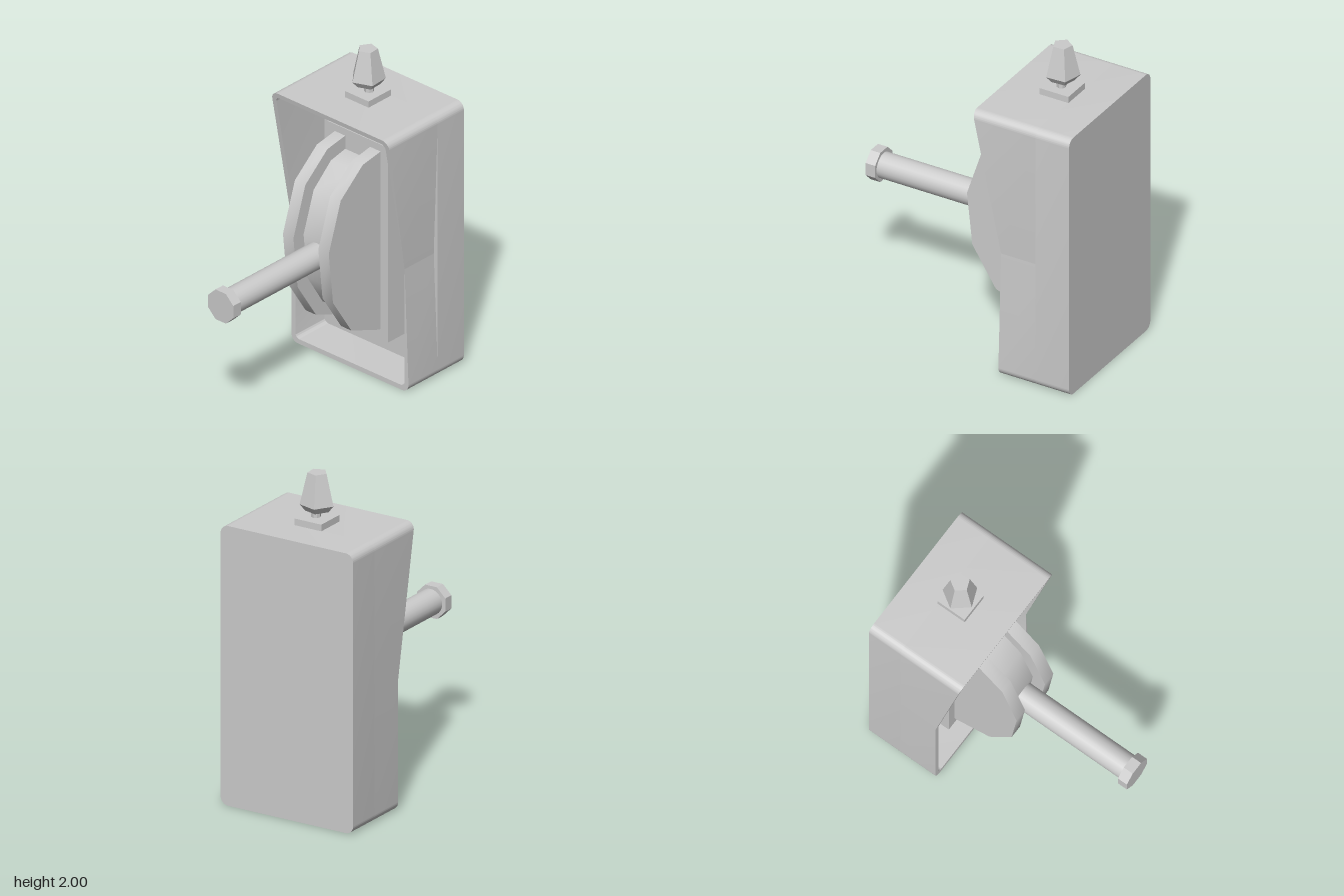
import * as THREE from 'three';
import { toCreasedNormals } from 'three/addons/utils/BufferGeometryUtils.js';

const HALF_W = 0.447, HEIGHT = 1.69, BEND_Y = 0.79;
const BACK_Z = -0.775, FLOOR_Z = -0.555, FRONT_Z = -0.31, LEAN = 0.17;
const WALL = 0.03, ROUND = 0.05;

export function createModel() {
  const model = new THREE.Group();
  const smooth = new THREE.MeshStandardMaterial({ color: 0xcccccc });
  const faceted = new THREE.MeshStandardMaterial({ color: 0xcccccc, flatShading: true });

  const add = (name, geometry, material, x = 0, y = 0, z = 0) => {
    const mesh = new THREE.Mesh(geometry, material);
    mesh.name = name;
    mesh.position.set(x, y, z);
    model.add(mesh);
    return mesh;
  };
  const extrude = (shape, depth) =>
    new THREE.ExtrudeGeometry(shape, { depth, bevelEnabled: false, curveSegments: 8 });

  // Housing back: a solid rounded slab
  const slab = new THREE.Shape();
  const cx = HALF_W - ROUND, top = HEIGHT - ROUND, q = Math.PI / 2;
  slab.absarc(cx, top, ROUND, 0, q);
  slab.absarc(-cx, top, ROUND, q, 2 * q);
  slab.absarc(-cx, ROUND, ROUND, 2 * q, 3 * q);
  slab.absarc(cx, ROUND, ROUND, 3 * q, 4 * q);
  slab.closePath();
  add('housingBack', toCreasedNormals(extrude(slab, FLOOR_Z - BACK_Z), 0.6), smooth, 0, 0, BACK_Z);

  // Housing walls: an upper and a lower U, the upper rim leaning forward
  const wallHalf = (s) => {
    const end = s > 0 ? HEIGHT : 0;
    const w = HALF_W - WALL, ri = ROUND - 0.02;
    const yo = end - s * ROUND, yi = end - s * (WALL + ri);
    const shape = new THREE.Shape();
    shape.moveTo(HALF_W, BEND_Y);
    shape.absarc(cx, yo, ROUND, 0, s * q, s < 0);
    shape.absarc(-cx, yo, ROUND, s * q, s * 2 * q, s < 0);
    shape.lineTo(-HALF_W, BEND_Y);
    shape.lineTo(-w, BEND_Y);
    shape.absarc(-w + ri, yi, ri, s * 2 * q, s * q, s > 0);
    shape.absarc(w - ri, yi, ri, s * q, 0, s > 0);
    shape.lineTo(w, BEND_Y);
    shape.closePath();
    const geo = extrude(shape, FRONT_Z - FLOOR_Z);
    const pos = geo.attributes.position;
    for (let i = 0; i < pos.count; i++) {
      if (pos.getZ(i) < 0.01) continue;
      const lean = Math.max(0, (pos.getY(i) - BEND_Y) / (HEIGHT - BEND_Y)) * LEAN;
      pos.setZ(i, pos.getZ(i) + lean);
    }
    return toCreasedNormals(geo, 0.6);
  };
  add('upperWalls', wallHalf(1), smooth, 0, 0, FLOOR_Z);
  add('lowerWalls', wallHalf(-1), smooth, 0, 0, FLOOR_Z);

  // Mounting plate inside the housing
  add('mountingPlate', new THREE.BoxGeometry(0.46, 1.265, 0.185), smooth, 0, 0.8475, -0.4675);

  // Half wheel: two cheeks with a recessed drum; profiles are [z, y]
  const sideProfile = (points, width) => {
    const geo = extrude(new THREE.Shape(points.map(([z, y]) => new THREE.Vector2(z, y))), width);
    geo.rotateY(-Math.PI / 2).translate(width / 2, 0, 0);
    return toCreasedNormals(geo, 0.75);
  };
  const cheek = [[-0.4, 0.28], [-0.36, 0.285], [-0.13, 0.375], [0.025, 0.62],
    [0.06, 0.95], [-0.04, 1.255], [-0.225, 1.41], [-0.376, 1.435], [-0.4, 1.435]];
  const drum = [[-0.4, 0.365], [-0.36, 0.368], [-0.185, 0.44], [-0.055, 0.65],
    [-0.025, 0.94], [-0.11, 1.195], [-0.255, 1.325], [-0.376, 1.35], [-0.4, 1.35]];
  for (const [name, side] of [['leftCheek', 1], ['rightCheek', -1]])
    add(name, sideProfile(cheek, 0.08), smooth, side * 0.135);
  add('drum', sideProfile(drum, 0.19), smooth);

  // Handle: round shaft with an octagonal end
  const shaft = new THREE.CylinderGeometry(0.078, 0.078, 0.82, 24).rotateX(q);
  add('handleShaft', shaft, smooth, 0.003, 0.843, 0.31);
  const knob = new THREE.CylinderGeometry(0.104, 0.104, 0.063, 8).rotateY(Math.PI / 8).rotateX(q);
  add('handleKnob', knob, faceted, 0, 0.843, 0.7435);

  // Five-sided finial on a square foot
  const finialZ = -0.462;
  add('finialFoot', new THREE.BoxGeometry(0.18, 0.04, 0.19), smooth, 0, 1.71, finialZ);
  add('finialNeck', new THREE.CylinderGeometry(0.028, 0.028, 0.06, 8), faceted, 0.008, 1.75, finialZ);
  const outline = [[0, 1.77], [0.07, 1.77], [0.103, 1.81], [0.058, 2], [0, 2]]
    .map(([r, y]) => new THREE.Vector2(r, y));
  add('finial', new THREE.LatheGeometry(outline, 5, -0.25), faceted, -0.003, 0, finialZ);

  return model;
}
